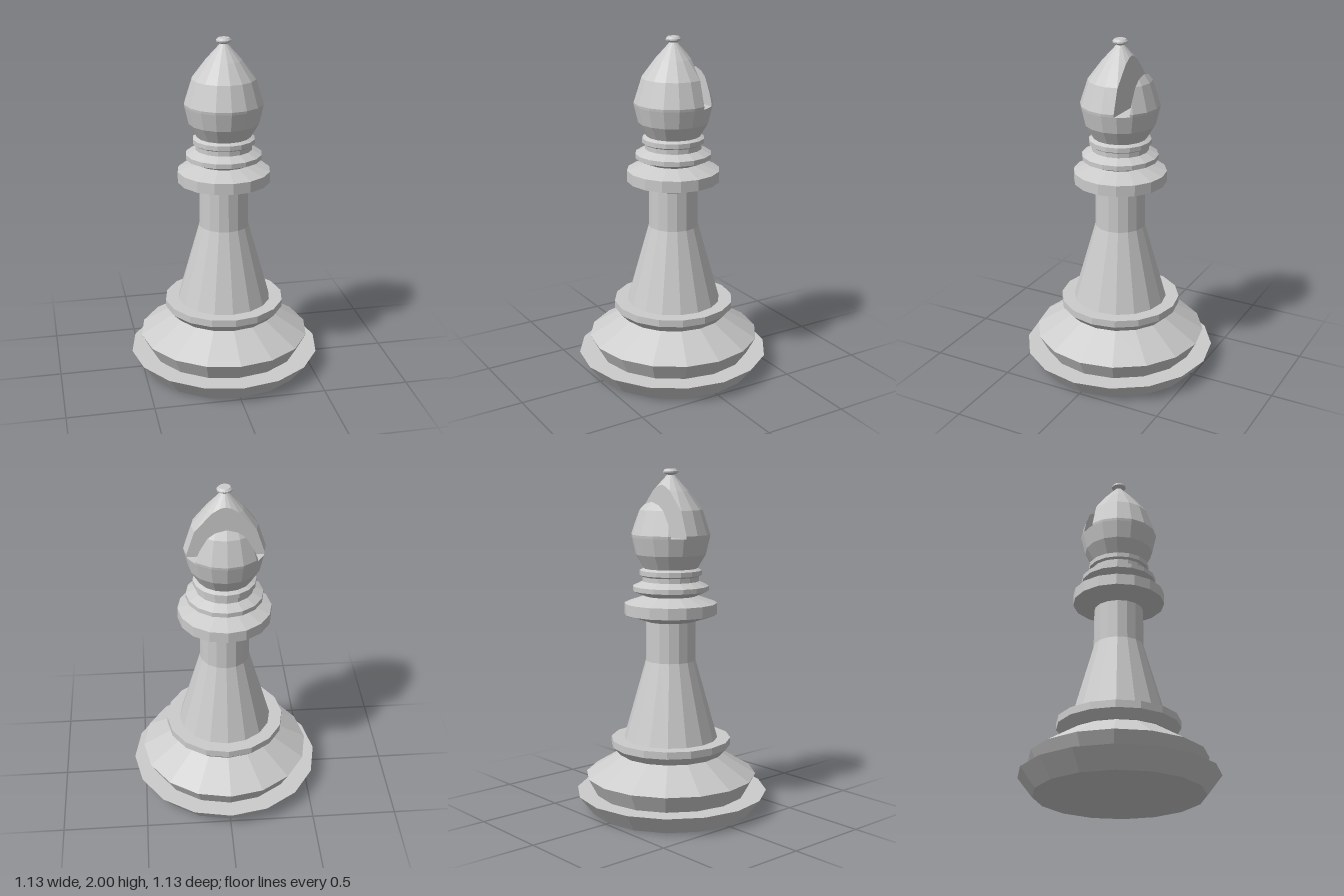
import * as THREE from 'three';
import { ConvexGeometry } from 'three/addons/geometries/ConvexGeometry.js';

const SIDES = 16;
const SLIT_FLOOR = 1.615, SLIT_FRONT = -0.071, SLIT_BACK = -0.147;
const material = new THREE.MeshStandardMaterial({ color: 0xcccccc, flatShading: true });

function addMesh(group, name, geometry) {
  const mesh = new THREE.Mesh(geometry, material);
  mesh.name = name;
  group.add(mesh);
}

// Faceted turned part from [radius, height] pairs, bottom to top, closed at both ends
function turned(profile) {
  const closed = [[0, profile[0][1]], ...profile, [0, profile[profile.length - 1][1]]];
  return new THREE.LatheGeometry(closed.map(([r, y]) => new THREE.Vector2(r, y)), SIDES);
}

// Convex turned part, keeping only the side of the plane z = cut given by sign
function turnedSlice(profile, cut, sign) {
  const rings = profile.map(([r, y]) => Array.from({ length: SIDES }, (_, i) => {
    const a = (i / SIDES) * Math.PI * 2;
    return new THREE.Vector3(r * Math.sin(a), y, r * Math.cos(a));
  }));
  const kept = [];
  const crossing = (p, q) => {
    if ((p.z - cut) * (q.z - cut) < 0) kept.push(p.clone().lerp(q, (cut - p.z) / (q.z - p.z)));
  };
  rings.forEach((ring, j) => ring.forEach((p, i) => {
    if ((p.z - cut) * sign >= 0) kept.push(p);
    crossing(p, ring[(i + 1) % SIDES]);
    if (j + 1 < rings.length) crossing(p, rings[j + 1][i]);
  }));
  return new ConvexGeometry(kept);
}

export function createModel() {
  const model = new THREE.Group();
  model.name = 'chessBishop';

  // Foot plate
  addMesh(model, 'footPlate', turned([[0.48, 0], [0.565, 0.11]]));

  // Everything above the plate sits a touch towards the back
  const upper = new THREE.Group();
  upper.name = 'upperBody';
  upper.position.z = -0.006;
  model.add(upper);

  addMesh(upper, 'base', turned([[0.45, 0.11], [0.504, 0.212], [0.295, 0.34]]));
  addMesh(upper, 'baseRing', turned([[0.305, 0.34], [0.353, 0.388], [0.353, 0.43]]));
  addMesh(upper, 'stem', turned([[0.276, 0.43], [0.146, 0.895], [0.144, 1.127]]));

  // Collar and the two rings under the head
  addMesh(upper, 'collar', turned([[0.144, 1.127], [0.27, 1.168], [0.27, 1.233], [0.15, 1.275]]));
  addMesh(upper, 'middleRing', turned([[0.15, 1.274], [0.221, 1.305], [0.221, 1.332], [0.165, 1.36]]));
  addMesh(upper, 'neck', turned([[0.165, 1.36], [0.165, 1.387]]));
  addMesh(upper, 'upperRing', turned([[0.165, 1.387], [0.18, 1.396], [0.18, 1.423], [0.155, 1.435]]));

  // Head: whole below the slit floor, two pieces above it
  addMesh(upper, 'headLower', turned([[0.155, 1.433], [0.203, 1.515], [0.226, SLIT_FLOOR]]));
  const crown = [[0.226, SLIT_FLOOR], [0.228, 1.63], [0.183, 1.77], [0.104, 1.875], [0.018, 1.97]];
  addMesh(upper, 'headFront', turnedSlice(crown, SLIT_FRONT, 1));
  addMesh(upper, 'headBack', turnedSlice(crown, SLIT_BACK, -1));

  // Finial
  addMesh(upper, 'finial', turned([[0.02, 1.966], [0.043, 1.98], [0.043, 1.988], [0.032, 2]]));

  return model;
}
